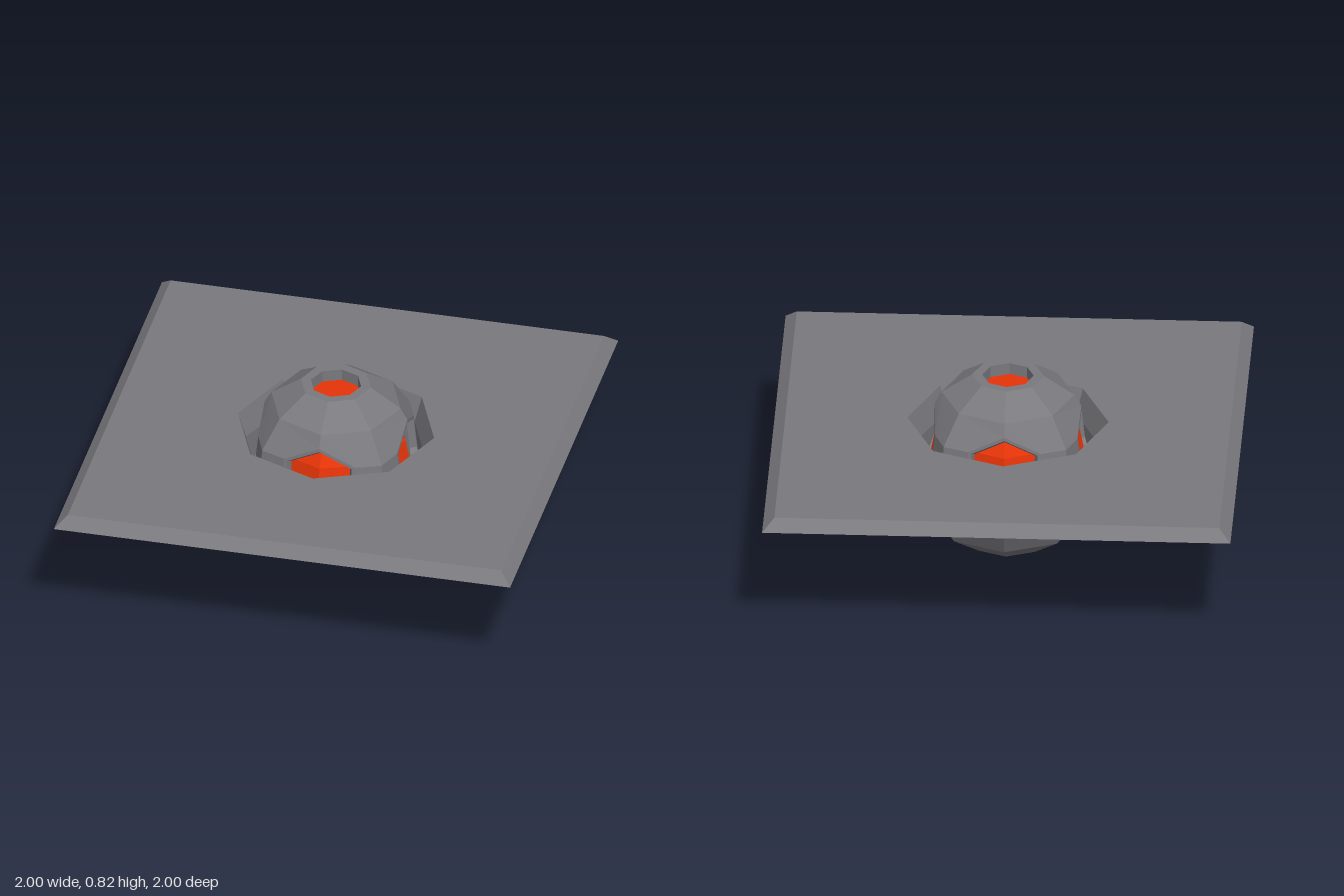
import * as THREE from 'three';

const grey = new THREE.MeshStandardMaterial({ color: 0x7a797e, flatShading: true, side: THREE.DoubleSide });
grey.name = 'stone grey';
const red = new THREE.MeshStandardMaterial({ color: 0xe63409, flatShading: true });
red.name = 'glowing red';

const PLATE_TOP = 0.605, PLATE_BOTTOM = 0.557, CENTRE = 0.45;

function add(parent, geometry, material, name) {
  const mesh = new THREE.Mesh(geometry, material);
  mesh.name = name;
  parent.add(mesh);
  return mesh;
}

// Eight-sided turned form from [radius, y] pairs, listed bottom to top
function octagonLathe(profile) {
  return new THREE.LatheGeometry(profile.map(([r, y]) => new THREE.Vector2(r, y)), 8);
}

// Square sheet with an octagonal hole, lying flat at the given height
function sheet(half, holeRadius, y) {
  const shape = new THREE.Shape([[-1, -1], [1, -1], [1, 1], [-1, 1]].map(([a, b]) => new THREE.Vector2(a * half, b * half)));
  const hole = [];
  for (let i = 0; i < 8; i++) {
    const a = -i * Math.PI / 4;
    hole.push(new THREE.Vector2(Math.cos(a) * holeRadius, Math.sin(a) * holeRadius));
  }
  shape.holes.push(new THREE.Path(hole));
  return new THREE.ShapeGeometry(shape).rotateX(-Math.PI / 2).translate(0, y, 0);
}

// Mirrors a wedge of polygons across x and turns it to all four sides
function fourSided(polygons) {
  const positions = [];
  for (let turn = 0; turn < 4; turn++) {
    const c = Math.cos(turn * Math.PI / 2), s = Math.sin(turn * Math.PI / 2);
    for (const m of [1, -1]) {
      for (const poly of polygons) {
        const pts = poly.map(([x, y, z]) => [c * x * m + s * z, y, c * z - s * x * m]);
        if (m > 0) pts.reverse();
        for (let i = 1; i < pts.length - 1; i++) positions.push(...pts[0], ...pts[i], ...pts[i + 1]);
      }
    }
  }
  const g = new THREE.BufferGeometry();
  g.setAttribute('position', new THREE.Float32BufferAttribute(positions, 3));
  g.computeVertexNormals();
  return g;
}

// Half outline of a six-sided opening, from its peak down to its lowest corner
const opening = [[0, 0.231, 0.313], [0.155, 0.153, 0.304], [0.155, 0, 0.321], [0, -0.1, 0.375]];

// Ball surface around the openings
function shellGeometry() {
  const rings = [[0.153, 0.37], [0.283, 0.283], [0.37, 0.153], [0.385, 0], [0.37, -0.153], [0.283, -0.283], [0.153, -0.37]];
  const a = rings.map(([r, y]) => [0, y, r]);
  const b = rings.map(([r, y]) => [r * Math.SQRT1_2, y, r * Math.SQRT1_2]);
  const [peak, upper, lower, foot] = opening;
  return fourSided([
    [a[0], a[1], b[1], b[0]].reverse(),
    [a[1], peak, upper, b[2], b[1]].reverse(),
    [upper, lower, b[3], b[2]].reverse(),
    [lower, foot, a[4], b[4], b[3]].reverse(),
    [a[4], a[5], b[5], b[4]].reverse(),
    [a[5], a[6], b[6], b[5]].reverse(),
  ]);
}

// Narrow rim and sloping wall of the side openings
function openingFrameGeometry() {
  const middle = [0, 0.065, 0.33];
  const rim = opening.map(p => p.map((v, i) => v + (middle[i] - v) * 0.09));
  const wall = rim.map(p => p.map(v => v * 0.91));
  const polygons = [];
  for (let i = 0; i < 3; i++) {
    polygons.push([opening[i], opening[i + 1], rim[i + 1], rim[i]]);
    polygons.push([rim[i], rim[i + 1], wall[i + 1], wall[i]]);
  }
  return fourSided(polygons);
}

export function createModel() {
  const model = new THREE.Group();
  model.name = 'floorVent';

  // Bevelled floor plate, open underneath
  const plate = new THREE.Group();
  plate.name = 'floorPlate';
  model.add(plate);
  add(plate, sheet(0.95, 0.43, PLATE_TOP), grey, 'plateTop');
  const bevel = new THREE.CylinderGeometry(0.95 * Math.SQRT2, Math.SQRT2, PLATE_TOP - PLATE_BOTTOM, 4, 1, true);
  bevel.rotateY(Math.PI / 4).translate(0, (PLATE_TOP + PLATE_BOTTOM) / 2, 0);
  add(plate, bevel, grey, 'plateBevel');

  // Sunken bowl
  add(model, octagonLathe([
    [0, 0], [0.17, 0.035], [0.312, 0.13], [0.394, 0.27], [0.394, 0.49], [0.43, PLATE_TOP],
  ]), grey, 'bowl');

  // Ball with side openings
  const ball = new THREE.Group();
  ball.name = 'ball';
  ball.position.y = CENTRE;
  model.add(ball);
  add(ball, shellGeometry(), grey, 'ballShell');
  add(ball, openingFrameGeometry(), grey, 'openingFrames');

  // Flat rims and walls of the upper and lower openings
  for (const s of [1, -1]) {
    add(ball, octagonLathe([[0.153, 0.37 * s], [0.11, 0.37 * s], [0.11, 0.315 * s]]), grey, s > 0 ? 'topRim' : 'bottomRim');
  }

  // Core showing through the openings
  add(ball, octagonLathe([
    [0, -0.318], [0.126, -0.318], [0.233, -0.233], [0.305, -0.126], [0.33, 0],
    [0.305, 0.126], [0.233, 0.233], [0.126, 0.318], [0, 0.318],
  ]), red, 'core');

  return model;
}
